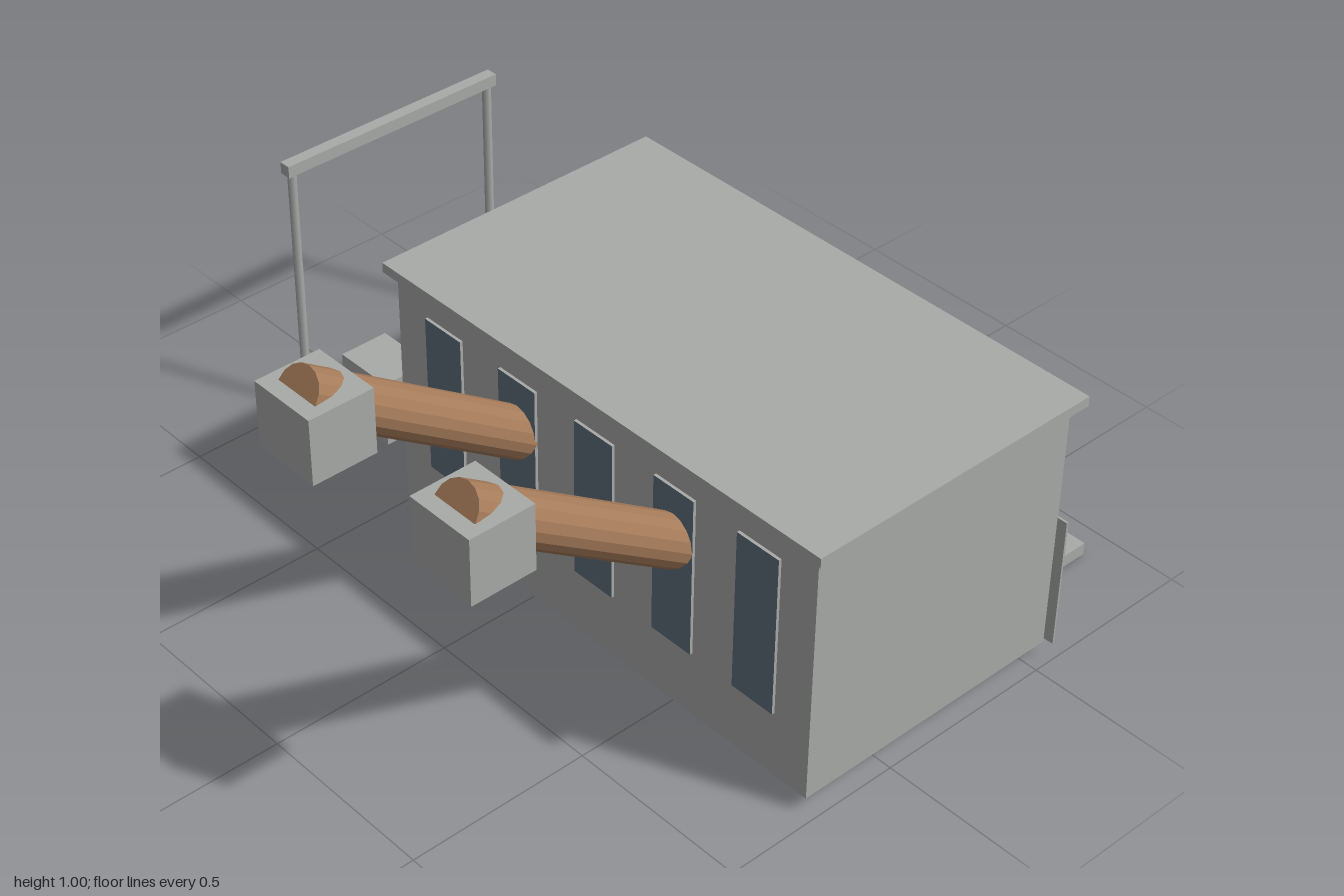
import * as THREE from 'three';

const grey = new THREE.MeshStandardMaterial({ name: 'concrete grey', color: 0xa9aba9 });
const blue = new THREE.MeshStandardMaterial({ name: 'window blue', color: 0x5f6e7e });
const brown = new THREE.MeshStandardMaterial({ name: 'pipe brown', color: 0xa67c5b });
brown.flatShading = true;

export function createModel() {
  const model = new THREE.Group();
  model.name = 'building';

  // Box given by its limits on each axis
  function box(name, x0, x1, y0, y1, z0, z1, material = grey, parent = model) {
    const mesh = new THREE.Mesh(new THREE.BoxGeometry(x1 - x0, y1 - y0, z1 - z0), material);
    mesh.position.set((x0 + x1) / 2, (y0 + y1) / 2, (z0 + z1) / 2);
    mesh.name = name;
    parent.add(mesh);
    return mesh;
  }

  // Cylinder between two points
  function rod(name, a, b, radius, sides, material, parent = model) {
    const dir = b.clone().sub(a);
    const mesh = new THREE.Mesh(new THREE.CylinderGeometry(radius, radius, dir.length(), sides), material);
    mesh.position.copy(a).add(b).multiplyScalar(0.5);
    mesh.quaternion.setFromUnitVectors(new THREE.Vector3(0, 1, 0), dir.normalize());
    mesh.name = name;
    parent.add(mesh);
    return mesh;
  }

  // Main block, roof slab and rear corner panel
  box('walls', -0.45, 0.97, 0.04, 0.745, -0.555, 0.245);
  box('roof', -0.475, 0.998, 0.745, 0.772, -0.582, 0.27);
  box('cornerPanel', 0.77, 0.998, 0.05, 0.42, -0.56, -0.554);

  // Rear platform with a raised pad
  box('platform', -0.27, 0.79, 0, 0.035, -0.912, -0.555);
  box('platformPad', -0.23, 0.75, 0.035, 0.045, -0.875, -0.592);

  // Tall windows, front and back: blue faces with grey edges
  const frontFace = [grey, grey, grey, grey, blue, grey];
  const backFace = [grey, grey, grey, grey, grey, blue];
  for (let i = 0; i < 5; i++) {
    const x = -0.275 + i * 0.2675;
    box('frontWindow', x - 0.065, x + 0.065, 0.225, 0.672, 0.244, 0.253, frontFace);
    box('backWindow', x - 0.065, x + 0.065, 0.225, 0.672, -0.563, -0.554, backFace);
  }

  // Sloping pipes, each passing through a block near its end
  for (const x of [-0.006, 0.527]) {
    const pipe = new THREE.Group();
    pipe.name = 'exhaustPipe';
    rod('pipe', new THREE.Vector3(x, 0.519, 0.248), new THREE.Vector3(x, 0.946, 0.867), 0.065, 16, brown, pipe);
    box('pipeBlock', x - 0.096, x + 0.096, 0.767, 0.944, 0.733, 0.91, grey, pipe);
    model.add(pipe);
  }

  // Side gantry: a beam on two slim posts
  box('gantryBeam', -1, -0.967, 0.735, 0.768, -0.5, 0.178);
  for (const z of [-0.48, 0.158]) {
    rod('gantryPost', new THREE.Vector3(-0.983, 0.04, z), new THREE.Vector3(-0.983, 0.736, z), 0.012, 8, grey);
  }

  // Side units with vertical fins
  for (const z of [-0.401, -0.17, 0.063]) {
    const unit = new THREE.Group();
    unit.name = 'coolingUnit';
    box('unitBody', -0.85, -0.672, 0.04, 0.233, z - 0.071, z + 0.071, grey, unit);
    for (let i = 0; i < 4; i++) {
      const fz = z - 0.053 + i * 0.0355;
      box('fin', -0.866, -0.849, 0.057, 0.217, fz - 0.004, fz + 0.004, grey, unit);
    }
    model.add(unit);
  }

  return model;
}
